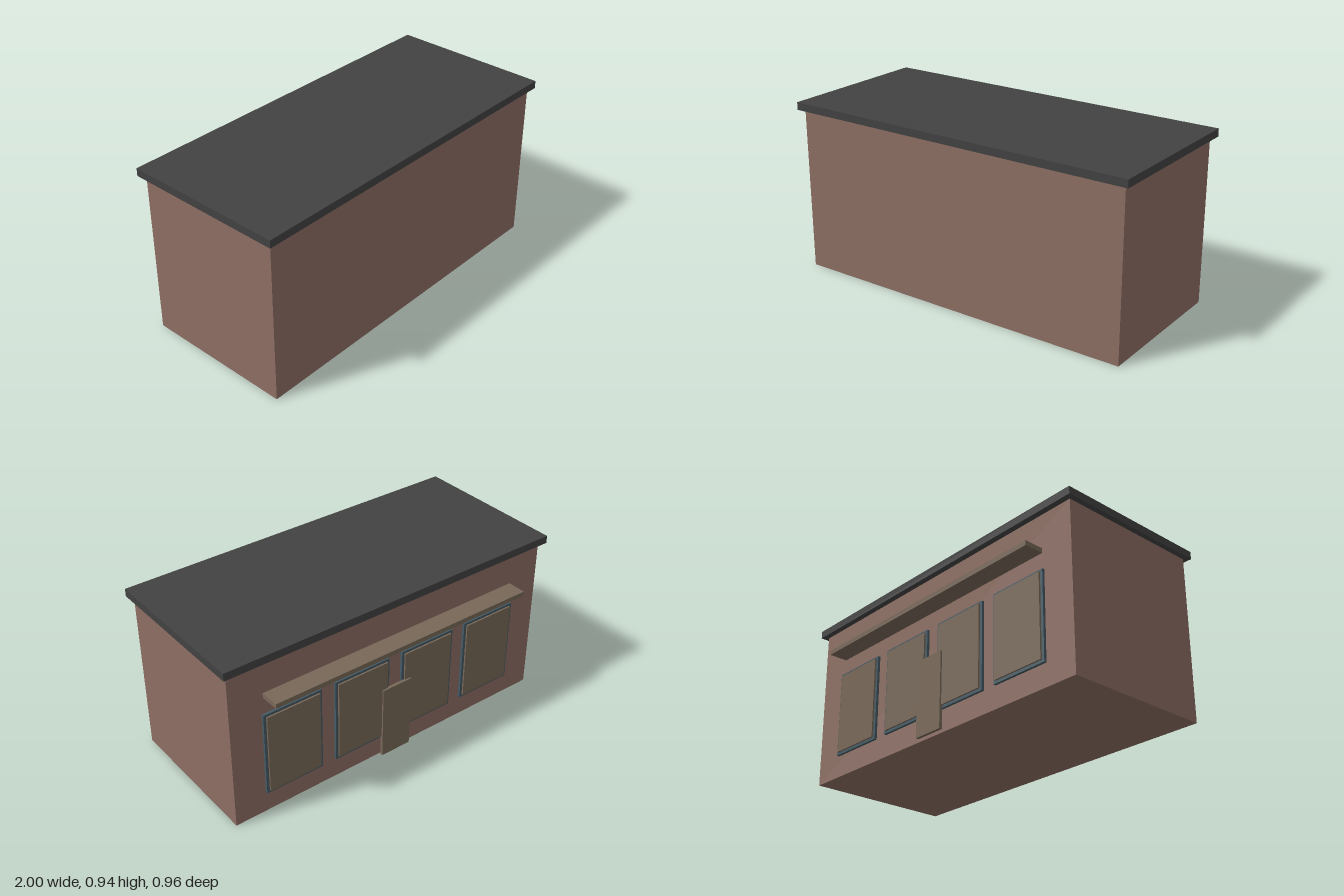
import * as THREE from 'three';

const brick = new THREE.MeshStandardMaterial({ color: 0x8d6e63 });
const slate = new THREE.MeshStandardMaterial({ color: 0x424242 });
const timber = new THREE.MeshStandardMaterial({ color: 0x786858 });
const steel = new THREE.MeshStandardMaterial({ color: 0x455a64 });

// Box given by its [min, max] range on each axis
function box(name, material, [x0, x1], [y0, y1], [z0, z1]) {
  const mesh = new THREE.Mesh(new THREE.BoxGeometry(x1 - x0, y1 - y0, z1 - z0), material);
  mesh.position.set((x0 + x1) / 2, (y0 + y1) / 2, (z0 + z1) / 2);
  mesh.name = name;
  return mesh;
}

export function createModel() {
  const model = new THREE.Group();
  model.name = 'building';

  // Main block and overhanging flat roof
  model.add(box('walls', brick, [-0.972, 0.972], [0, 0.898], [-0.372, 0.449]));
  model.add(box('roof', slate, [-1, 1], [0.898, 0.94], [-0.404, 0.478]));

  // Row of framed windows along the back wall
  for (let i = 0; i < 4; i++) {
    const x = (i - 1.5) * 0.418;
    const unit = new THREE.Group();
    unit.name = 'window';
    unit.add(box('windowFrame', steel, [x - 0.168, x + 0.168], [0.12, 0.597], [-0.386, -0.372]));
    unit.add(box('windowPanel', timber, [x - 0.153, x + 0.153], [0.135, 0.583], [-0.395, -0.386]));
    model.add(unit);
  }

  // Door standing just proud of the wall, and the canopy above
  model.add(box('door', timber, [-0.09, 0.09], [0.009, 0.426], [-0.404, -0.387]));
  model.add(box('canopy', timber, [-0.783, 0.783], [0.69, 0.716], [-0.478, -0.372]));

  return model;
}
